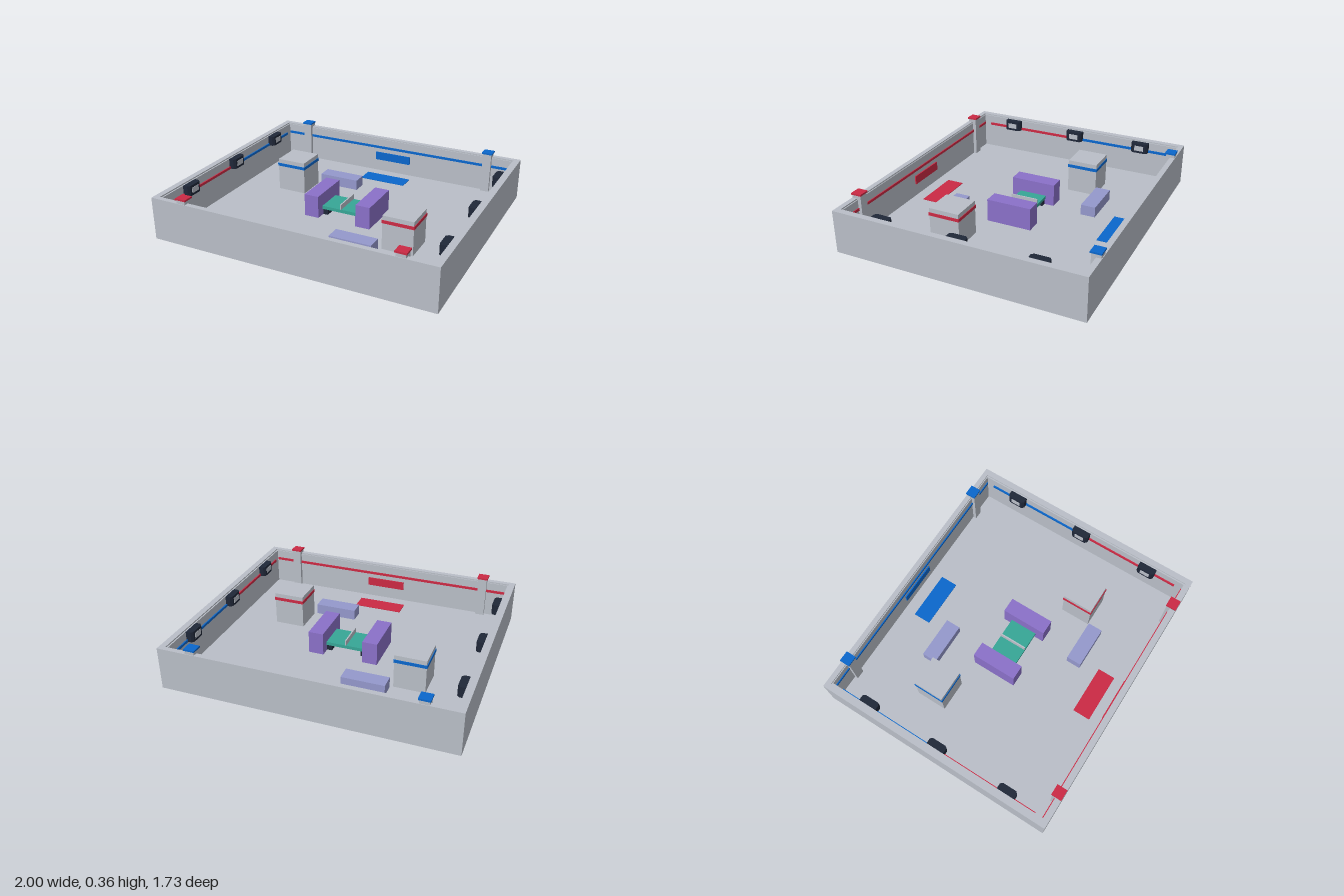
import * as THREE from 'three';

const mat = (name, color) => {
  const m = new THREE.MeshStandardMaterial({ color });
  m.name = name;
  return m;
};

export function createModel() {
  const grey = mat('wall grey', 0xb9bec7);
  const blue = mat('team blue', 0x0b67cc);
  const red = mat('team red', 0xcb2a44);
  const purple = mat('purple', 0x8a70c8);
  const teal = mat('teal', 0x36a696);
  const lavender = mat('lavender', 0x9498cc);
  const dark = mat('dark navy', 0x1f2738);

  const model = new THREE.Group();
  model.name = 'arena';
  const FLOOR = 0.054;

  const add = (name, geometry, material, parent = model) => {
    const mesh = new THREE.Mesh(geometry, material);
    mesh.name = name;
    parent.add(mesh);
    return mesh;
  };
  // Box given by its centre in x and z, its size, and its bottom and top heights
  const box = (name, material, x, z, w, d, y0, y1, parent = model) => {
    const mesh = add(name, new THREE.BoxGeometry(w, y1 - y0, d), material, parent);
    mesh.position.set(x, (y0 + y1) / 2, z);
    return mesh;
  };
  // Upright rectangular ring
  const rect = (path, x, z) => path.moveTo(-x, -z).lineTo(x, -z).lineTo(x, z).lineTo(-x, z).lineTo(-x, -z);
  const frame = (name, xo, zo, xi, zi, y0, y1) => {
    const shape = new THREE.Shape();
    rect(shape, xo, zo);
    const hole = new THREE.Path();
    rect(hole, xi, zi);
    shape.holes.push(hole);
    const geo = new THREE.ExtrudeGeometry(shape, { depth: y1 - y0, bevelEnabled: false });
    geo.rotateX(-Math.PI / 2);
    add(name, geo, grey).position.y = y0;
  };

  // Shell
  box('floor', grey, 0, 0, 1.91, 1.645, 0, FLOOR);
  frame('outerWalls', 1, 0.866, 0.957, 0.83, 0.025, 0.327);
  frame('wallLiner', 0.957, 0.83, 0.947, 0.823, 0.04, 0.318);

  // Wall screen: chamfered block whose face points along +x
  const screenShape = new THREE.Shape();
  screenShape.moveTo(0, -0.065).lineTo(0.035, -0.065).lineTo(0.05, -0.05)
    .lineTo(0.05, 0.05).lineTo(0.035, 0.065).lineTo(0, 0.065).closePath();
  const screenGeo = new THREE.ExtrudeGeometry(screenShape, { depth: 0.075, bevelEnabled: false });
  screenGeo.rotateX(-Math.PI / 2);

  // Each half is the same, turned half a turn, in its own colour
  const half = (name, color, turn) => {
    const g = new THREE.Group();
    g.name = name;
    g.rotation.y = turn;
    model.add(g);

    box('endStripe', color, 0, -0.82, 1.88, 0.008, 0.243, 0.261, g);
    box('endPanel', color, 0, -0.816, 0.29, 0.009, 0.147, 0.21, g);
    box('floorPad', color, 0, -0.675, 0.355, 0.126, FLOOR, FLOOR + 0.004, g);
    for (const s of [-1, 1]) {
      box('sideStripe', color, s * 0.94, -0.415, 0.009, 0.7, 0.243, 0.261, g);
      box('cornerPost', grey, s * 0.763, -0.83, 0.064, 0.064, FLOOR, 0.351, g);
      box('postCap', color, s * 0.763, -0.829, 0.077, 0.074, 0.351, 0.363, g);
    }

    // Tower with a coloured band
    box('tower', grey, -0.542, -0.262, 0.217, 0.217, FLOOR, 0.295, g);
    box('towerBand', color, -0.542, -0.262, 0.225, 0.225, 0.242, 0.264, g);

    box('lowBarrier', lavender, -0.262, -0.437, 0.303, 0.106, FLOOR, 0.13, g);
    box('bridgeBlock', purple, -0.197, 0, 0.107, 0.325, FLOOR, 0.216, g);
    box('bridgeFoot', dark, -0.125, 0, 0.036, 0.18, FLOOR, 0.1, g);

    // Screens along one side wall
    for (const z of [-0.543, 0, 0.543]) {
      add('wallScreen', screenGeo, dark, g).position.set(-0.946, 0.244, z);
      box('screenFace', grey, -0.8945, z, 0.003, 0.07, 0.262, 0.301, g);
    }
  };
  half('blueHalf', blue, 0);
  half('redHalf', red, Math.PI);

  // Central bridge
  box('bridgeDeck', teal, 0, 0, 0.29, 0.2, 0.098, 0.122);
  box('bridgeDivider', grey, 0, 0, 0.009, 0.2, 0.122, 0.16);

  return model;
}
